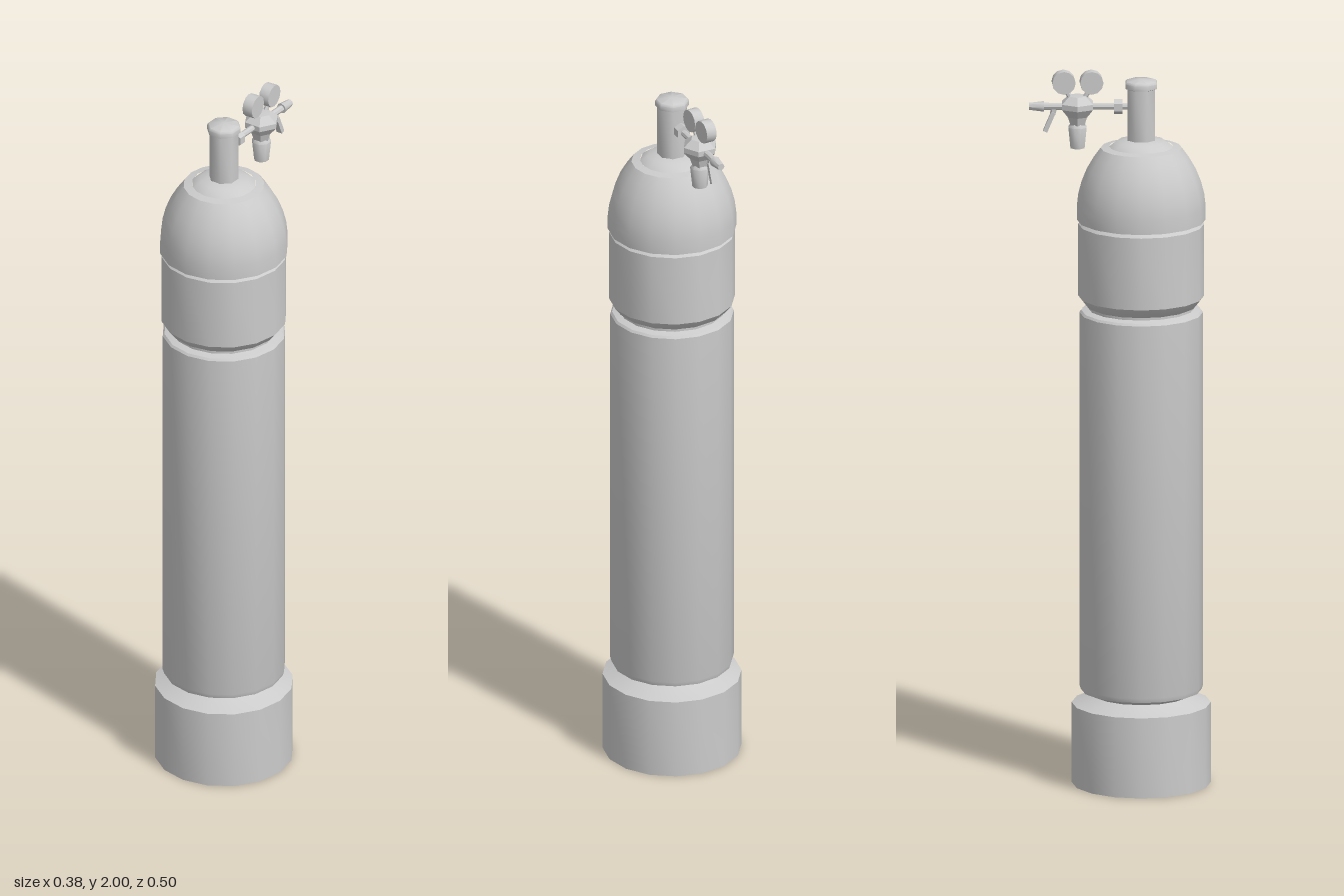
import * as THREE from 'three';
import { toCreasedNormals } from 'three/addons/utils/BufferGeometryUtils.js';

const material = new THREE.MeshStandardMaterial({ color: 0xcccccc });
const tankZ = 0.056;
const regulatorZ = -0.118;
const pipeY = 1.9;

function addMesh(parent, name, geometry, crease = 0.6) {
  const mesh = new THREE.Mesh(toCreasedNormals(geometry, crease), material);
  mesh.name = name;
  parent.add(mesh);
  return mesh;
}

// Turned part from [radius, y] pairs, listed bottom to top
function turned(parent, name, profile, sides, z, turn = 0, crease = 0.6) {
  const points = profile.map(([r, y]) => new THREE.Vector2(r, y));
  const mesh = addMesh(parent, name, new THREE.LatheGeometry(points, sides), crease);
  mesh.position.z = z;
  mesh.rotation.y = turn;
  return mesh;
}

// Round bar between two points
function rod(parent, name, a, b, rA, rB, sides = 8) {
  const start = new THREE.Vector3(...a);
  const dir = new THREE.Vector3(...b).sub(start);
  const mesh = addMesh(parent, name, new THREE.CylinderGeometry(rB, rA, dir.length(), sides), 0.9);
  mesh.position.copy(start).addScaledVector(dir, 0.5);
  mesh.quaternion.setFromUnitVectors(new THREE.Vector3(0, 1, 0), dir.normalize());
  return mesh;
}

export function createModel() {
  const model = new THREE.Group();
  model.name = 'gasCylinder';

  // Tank: foot, body, collar and dome
  turned(model, 'foot', [
    [0, 0], [0.19, 0], [0.19, 0.225], [0.155, 0.238], [0.13, 0.25],
  ], 16, tankZ);
  turned(model, 'body', [
    [0.115, 0.235], [0.135, 0.25], [0.165, 0.262], [0.169, 0.275],
    [0.169, 1.322], [0.164, 1.328], [0.145, 1.333], [0.145, 1.345],
  ], 16, tankZ);
  turned(model, 'collar', [
    [0.145, 1.34], [0.155, 1.346], [0.172, 1.368],
    [0.172, 1.57], [0.164, 1.578], [0.164, 1.59],
  ], 16, tankZ);
  turned(model, 'dome', [
    [0.16, 1.58], [0.176, 1.582], [0.176, 1.62], [0.172, 1.655], [0.163, 1.69],
    [0.149, 1.725], [0.13, 1.758], [0.111, 1.784], [0.088, 1.788],
  ], 16, tankZ);
  turned(model, 'shoulder', [
    [0.09, 1.786], [0.066, 1.803], [0.036, 1.808],
  ], 10, tankZ);

  // Valve stem and its cap
  turned(model, 'valveStem', [[0.041, 1.795], [0.041, 1.955]], 8, tankZ, Math.PI / 8, 0.9);
  turned(model, 'valveCap', [
    [0.04, 1.95], [0.047, 1.953], [0.047, 1.966], [0.043, 1.972], [0, 1.978],
  ], 8, tankZ, Math.PI / 8, 0.9);

  const regulator = new THREE.Group();
  regulator.name = 'regulator';
  model.add(regulator);

  // Inlet pipe with coupling nut, outlet pipe with tapered nozzle
  rod(regulator, 'inletPipe', [0, pipeY, 0.03], [0, pipeY, regulatorZ], 0.009, 0.009);
  rod(regulator, 'couplingNut', [0, pipeY, 0.005], [0, pipeY, -0.018], 0.021, 0.021, 6);
  rod(regulator, 'outletPipe', [0, pipeY, regulatorZ], [0, pipeY, -0.22], 0.01, 0.01);
  rod(regulator, 'outletNozzle', [0, pipeY, -0.21], [0, pipeY, -0.25], 0.015, 0.01);

  // Regulator body: six-sided bulb with a knob below
  turned(regulator, 'regulatorBody', [
    [0, 1.845], [0.022, 1.848], [0.03, 1.872], [0.049, 1.895],
    [0.049, 1.91], [0.026, 1.93], [0, 1.932],
  ], 6, regulatorZ, Math.PI / 6, 0.3);
  turned(regulator, 'adjustingKnob', [
    [0, 1.784], [0.021, 1.784], [0.027, 1.842], [0.02, 1.852], [0, 1.852],
  ], 8, regulatorZ, Math.PI / 8, 0.9);

  // Pair of dial gauges on slanted stems
  for (const side of [-1, 1]) {
    const z = regulatorZ + side * 0.038;
    rod(regulator, 'gaugeStem', [0, 1.91, regulatorZ + side * 0.01], [0, 1.955, z], 0.007, 0.007, 6);
    const gauge = addMesh(regulator, 'gauge', new THREE.CylinderGeometry(0.032, 0.032, 0.03, 12));
    gauge.position.set(0, 1.968, z);
    gauge.rotation.set(0, 0.08, Math.PI / 2);
  }

  // Shut-off lever hanging from the outlet
  rod(regulator, 'leverPivot', [0, 1.905, -0.18], [0, 1.878, -0.186], 0.008, 0.008, 6);
  const lever = addMesh(regulator, 'lever', new THREE.BoxGeometry(0.018, 0.058, 0.012));
  lever.position.set(0, 1.857, -0.195);
  lever.rotation.x = 0.4;

  return model;
}
